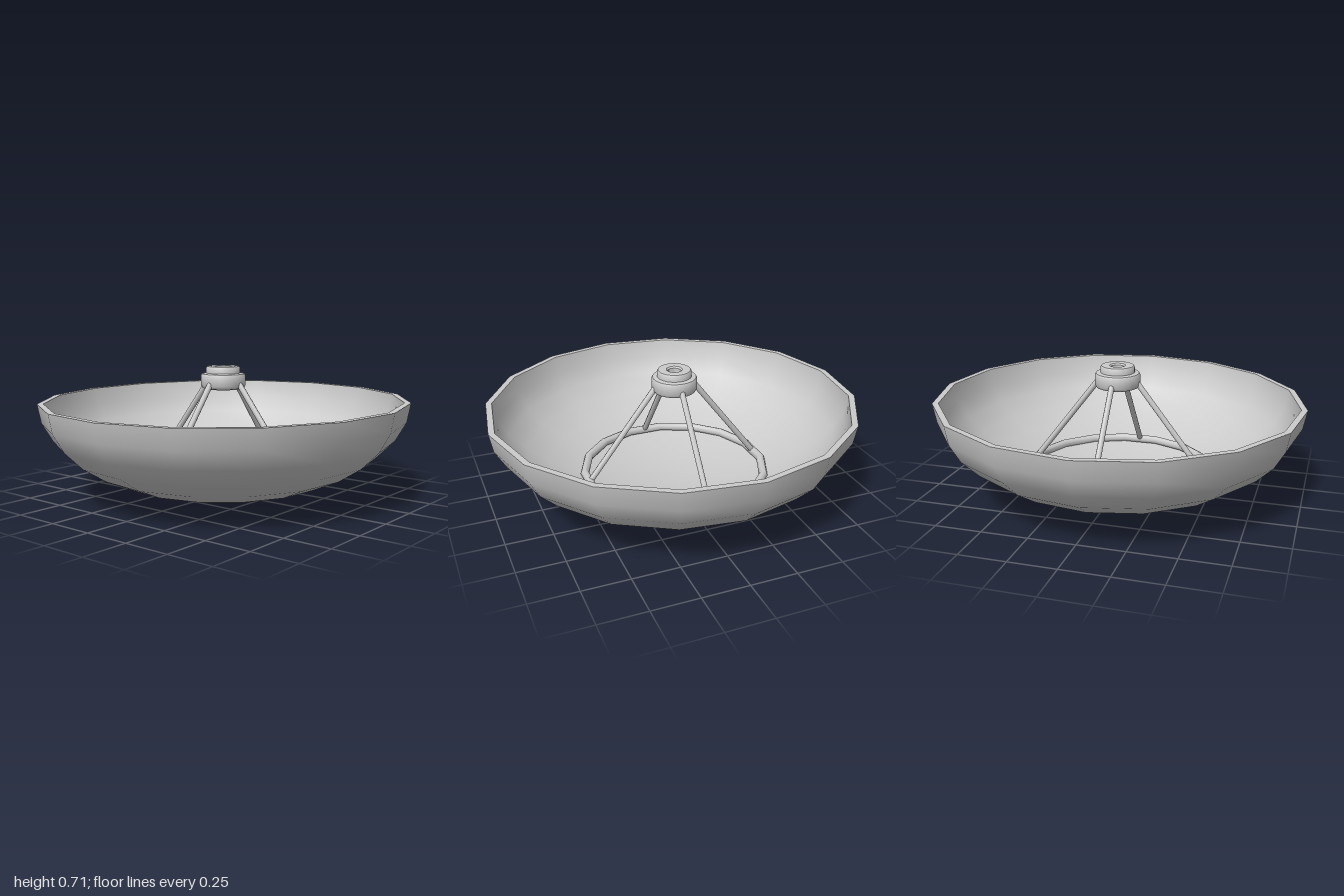
import * as THREE from 'three';
import { toCreasedNormals } from 'three/addons/utils/BufferGeometryUtils.js';

const DEG = Math.PI / 180;
const material = new THREE.MeshStandardMaterial({ color: 0xcccccc });

function addMesh(parent, name, geometry) {
  const mesh = new THREE.Mesh(geometry, material);
  mesh.name = name;
  parent.add(mesh);
  return mesh;
}

// Quarter ellipse from the bottom pole (y = -height) to the rim (y = 0)
function quarterEllipse(radius, height, steps = 8) {
  return Array.from({ length: steps + 1 }, (_, i) => {
    const a = (i / steps) * Math.PI / 2;
    return new THREE.Vector2(i === 0 ? 0 : radius * Math.sin(a), -height * Math.cos(a));
  });
}

function lathe(points, sides, start = 0) {
  return toCreasedNormals(new THREE.LatheGeometry(points, sides, start), 40 * DEG);
}

export function createModel() {
  const model = new THREE.Group();
  model.name = 'dishAntenna';

  // Thick-walled 16-sided bowl, tilted very slightly
  const profile = [...quarterEllipse(1, 0.53), ...quarterEllipse(0.967, 0.497).reverse()];
  const bowl = addMesh(model, 'bowl', lathe(profile, 16, 3.4 * DEG));
  bowl.position.y = 0.53;
  bowl.rotation.z = 0.65 * DEG;

  // Feed assembly, a touch off centre
  const feed = new THREE.Group();
  feed.name = 'feedAssembly';
  feed.position.set(0.01, 0, -0.012);
  model.add(feed);

  // Base ring lying on the inside of the bowl
  const ring = addMesh(feed, 'baseRing', new THREE.TorusGeometry(0.502, 0.024, 8, 16));
  ring.rotation.set(Math.PI / 2, 0, 11.25 * DEG);
  ring.position.y = 0.125;

  // Four struts leaning in from the ring to the hub
  const bottom = new THREE.Vector3(0.492, 0.125, 0);
  const top = new THREE.Vector3(0.1, 0.63, 0);
  const along = top.clone().sub(bottom);
  for (let i = 0; i < 4; i++) {
    const pivot = new THREE.Group();
    pivot.name = 'strut' + (i + 1);
    pivot.rotation.y = i * Math.PI / 2;
    feed.add(pivot);
    const rod = addMesh(pivot, 'strutRod', new THREE.CylinderGeometry(0.016, 0.016, along.length(), 8));
    rod.position.copy(bottom).add(top).multiplyScalar(0.5);
    rod.quaternion.setFromUnitVectors(new THREE.Vector3(0, 1, 0), along.clone().normalize());
  }

  // Stepped hub with a recessed centre hole
  const hubProfile = [
    [0, 0.585], [0.095, 0.585], [0.115, 0.592], [0.123, 0.605], [0.123, 0.658], [0.117, 0.668],
    [0.093, 0.672], [0.093, 0.7], [0.087, 0.708], [0.07, 0.71], [0.043, 0.708], [0.035, 0.7],
    [0.035, 0.675], [0, 0.675],
  ].map(([r, y]) => new THREE.Vector2(r, y));
  addMesh(feed, 'hub', lathe(hubProfile, 24));

  return model;
}
